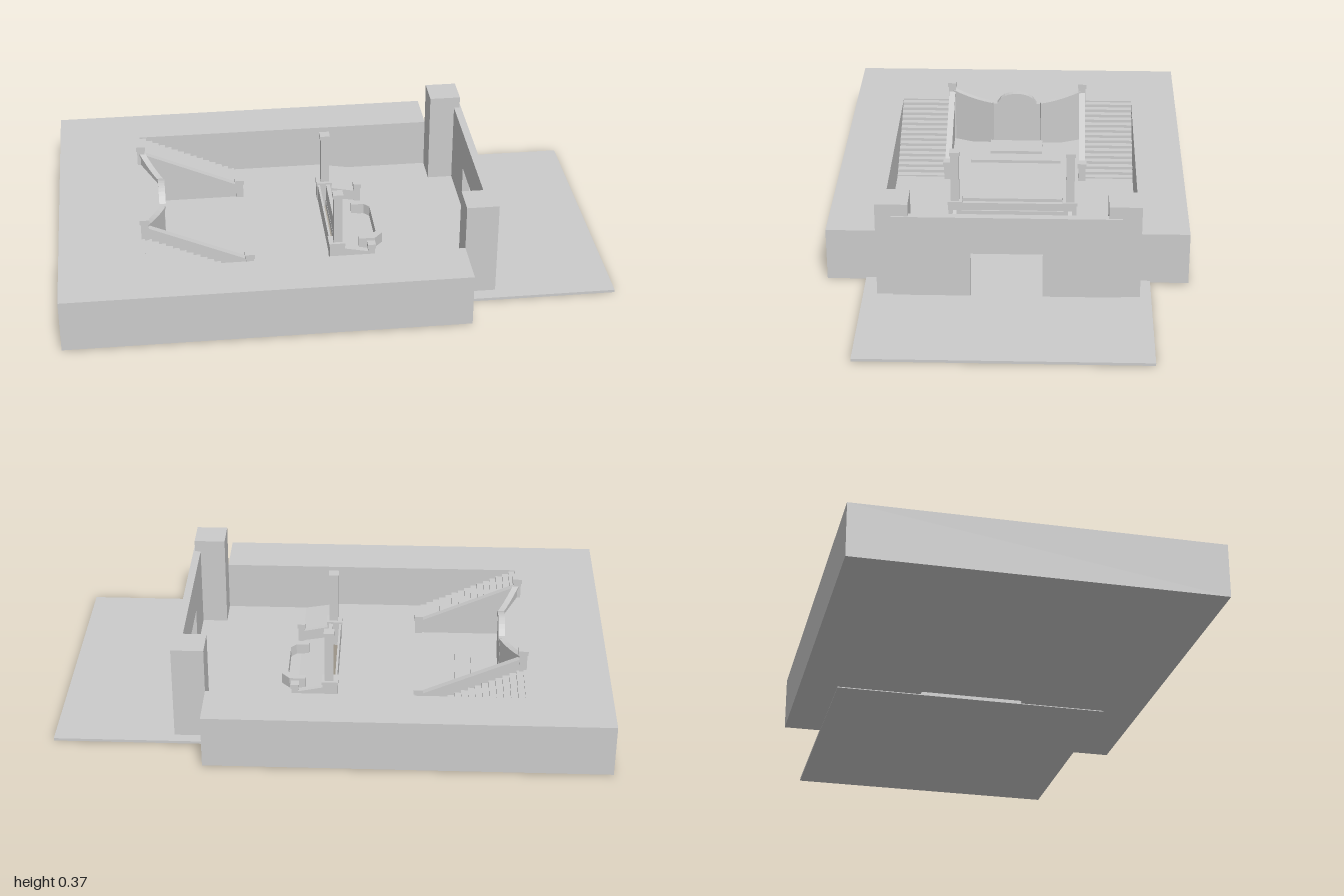
import * as THREE from 'three';

const material = new THREE.MeshStandardMaterial({ color: 0xcccccc, flatShading: true, side: THREE.DoubleSide });
const CZ = -0.006; // centre line of the sunken court
const FLOOR = 0.03, GROUND = 0.01, TOP = 0.2;

export function createModel() {
  const model = new THREE.Group();

  function add(name, geometry) {
    const mesh = new THREE.Mesh(geometry, material);
    mesh.name = name;
    model.add(mesh);
    return mesh;
  }

  // Box given by its limits
  function box(name, x0, x1, y0, y1, z0, z1) {
    const g = new THREE.BoxGeometry(x1 - x0, y1 - y0, z1 - z0);
    g.translate((x0 + x1) / 2, (y0 + y1) / 2, (z0 + z1) / 2);
    return add(name, g);
  }

  // Plan outline of [x, z] points raised from y0 to y1
  function slab(name, points, y0, y1) {
    const shape = new THREE.Shape(points.map(([x, z]) => new THREE.Vector2(x, -z)));
    const g = new THREE.ExtrudeGeometry(shape, { depth: y1 - y0, bevelEnabled: false });
    g.rotateX(-Math.PI / 2).translate(0, y0, 0);
    return add(name, g);
  }

  // Upright wall between two plan points, with its own bottom and top height at each end
  function beam(name, [xa, za, ba, ta], [xb, zb, bb, tb], width) {
    const g = new THREE.BoxGeometry(1, 1, 1);
    const p = g.attributes.position;
    const len = Math.hypot(xb - xa, zb - za);
    const nx = -(zb - za) / len, nz = (xb - xa) / len;
    for (let i = 0; i < p.count; i++) {
      const t = p.getX(i) + 0.5, h = p.getY(i) + 0.5, w = p.getZ(i) * width;
      const low = ba + (bb - ba) * t, high = ta + (tb - ta) * t;
      p.setXYZ(i, xa + (xb - xa) * t + nx * w, low + (high - low) * h, za + (zb - za) * t + nz * w);
    }
    g.computeVertexNormals();
    return add(name, g);
  }

  // Square post with a projecting cap
  function post(name, x, z, y0, y1, w) {
    const a = w * 0.4, b = w * 0.5, cap = 0.018;
    box(name, x - a, x + a, y0, y1 - cap, z - a, z + a);
    box(name + 'Cap', x - b, x + b, y1 - cap, y1, z - b, z + b);
  }

  // Raised terrace around the court
  const half = 0.466;
  slab('terrace', [
    [0.45, -0.65], [-1, -0.65], [-1, 0.65], [0.45, 0.65],
    [0.45, CZ + half], [-0.69, CZ + half], [-0.69, CZ + 0.265], [-0.62, CZ + 0.1],
    [-0.62, CZ - 0.1], [-0.69, CZ - 0.265], [-0.69, CZ - half], [0.45, CZ - half],
  ], 0.003, TOP);

  // Court floor, open slot behind the barrier, and ramp down to the entrance
  const z0 = CZ - half, z1 = CZ + half;
  box('courtFloor', -0.7, -0.005, 0.003, FLOOR, z0, z1);
  for (const [a, b] of [[z0, CZ - 0.195], [CZ + 0.195, z1]])
    box('slotEnd', -0.005, 0.02, 0.003, FLOOR, a, b);
  beam('ramp', [0.02, CZ, 0.003, FLOOR], [0.14, CZ, 0.003, GROUND], half * 2);
  box('entrancePlate', 0.02, 1, 0, GROUND, -0.512, 0.51);

  // Low platform steps in front of the rear wall
  box('lowerPlatform', -0.62, -0.45, FLOOR, FLOOR + 0.012, CZ - 0.18, CZ + 0.18);
  box('upperPlatform', -0.62, -0.51, FLOOR, FLOOR + 0.024, CZ - 0.105, CZ + 0.105);

  for (const s of [-1, 1]) {
    const zr = CZ + s * 0.265;

    // Stairs
    const steps = 15, run = 0.37 / steps;
    for (let i = 0; i < steps; i++) {
      const x = -0.69 + i * run;
      const y = TOP - (TOP - FLOOR) * (i + 0.5) / steps;
      const za = CZ + s * 0.27, zb = CZ + s * half;
      box('stairStep', x, x + run, 0.003, y, Math.min(za, zb), Math.max(za, zb));
    }

    // Sloping stair balustrade with coping
    beam('stairBalustrade', [-0.69, zr, 0.003, 0.237], [-0.31, zr, 0.003, 0.068], 0.016);
    beam('stairCoping', [-0.69, zr, 0.237, 0.249], [-0.31, zr, 0.068, 0.08], 0.024);
    post('stairTopPost', -0.688, zr, 0.003, 0.28, 0.035);
    post('stairFootPost', -0.312, zr, 0.003, 0.105, 0.035);

    // Diagonal balustrade sweeping in to the centre
    const sweep = [];
    for (let i = 0; i <= 5; i++) {
      const t = i / 5;
      sweep.push([-0.685 + 0.067 * t, CZ + s * (0.26 - 0.165 * t), 0.222 + 0.028 * (1 - t) ** 2]);
    }
    for (let i = 0; i < 5; i++) {
      const [xa, za, ya] = sweep[i], [xb, zb, yb] = sweep[i + 1];
      beam('rearBalustrade', [xa, za, 0.003, ya - 0.01], [xb, zb, 0.003, yb - 0.01], 0.014);
      beam('rearCoping', [xa, za, ya - 0.01, ya], [xb, zb, yb - 0.01, yb], 0.022);
    }

    // Tall barrier posts on pedestals
    const zp = CZ + s * 0.218;
    box('barrierPedestal', -0.013, 0.042, 0.003, 0.095, zp - 0.025, zp + 0.025);
    box('barrierPedestalCap', -0.016, 0.045, 0.095, 0.107, zp - 0.028, zp + 0.028);
    box('barrierPost', 0.002, 0.034, 0.107, 0.295, zp - 0.016, zp + 0.016);
    box('barrierPostCap', -0.001, 0.037, 0.295, 0.31, zp - 0.019, zp + 0.019);

    // Short side rails
    beam('sideRail', [0.04, zp, 0.003, 0.072], [0.145, zp, 0.003, 0.05], 0.014);
    post('sideRailPost', 0.145, zp, GROUND, 0.085, 0.03);

    // Gate pillars
    const zg = CZ + s * 0.408;
    box('gatePillar', 0.45, 0.567, 0.001, 0.367, zg - 0.058, zg + 0.058);
  }

  // Arched centre of the rear balustrade
  const archSegments = 12;
  for (let i = 0; i < archSegments; i++) {
    const at = k => {
      const u = -1 + 2 * k / archSegments;
      return [-0.618, CZ + u * 0.095, 0.222 + 0.043 * Math.sqrt(Math.max(0, 1 - (u / 0.8) ** 2))];
    };
    const [xa, za, ya] = at(i), [xb, zb, yb] = at(i + 1);
    beam('rearArch', [xa, za, 0.003, ya - 0.01], [xb, zb, 0.003, yb - 0.01], 0.014);
    beam('rearArchCoping', [xa, za, ya - 0.01, ya], [xb, zb, yb - 0.01, yb], 0.024);
  }

  // Low barrier of two leaves with horizontal mouldings
  const zb0 = CZ - 0.195, zb1 = CZ + 0.195;
  box('barrierRearLeaf', -0.011, -0.003, 0.003, 0.1, zb0, zb1);
  box('barrierFrontLeaf', 0.021, 0.03, 0.003, 0.1, zb0, zb1);
  for (const y of [0.055, 0.088]) box('barrierMoulding', 0.03, 0.036, y, y + 0.012, zb0, zb1);

  // Three-sided bench
  slab('bench', [
    [0.11, CZ - 0.135], [0.17, CZ - 0.135], [0.202, CZ - 0.1], [0.202, CZ + 0.1], [0.17, CZ + 0.135], [0.11, CZ + 0.135],
    [0.11, CZ + 0.11], [0.158, CZ + 0.11], [0.178, CZ + 0.088], [0.178, CZ - 0.088], [0.158, CZ - 0.11], [0.11, CZ - 0.11],
  ], GROUND, 0.052);

  // Gate wall with a square doorway
  const wallX0 = 0.545, wallX1 = 0.573, door = 0.127;
  box('gateWallSide', wallX0, wallX1, 0.002, 0.322, -0.403, -door);
  box('gateWallSide', wallX0, wallX1, 0.002, 0.322, door, 0.403);
  box('gateLintel', wallX0, wallX1, 0.18, 0.322, -door, door);

  return model;
}
